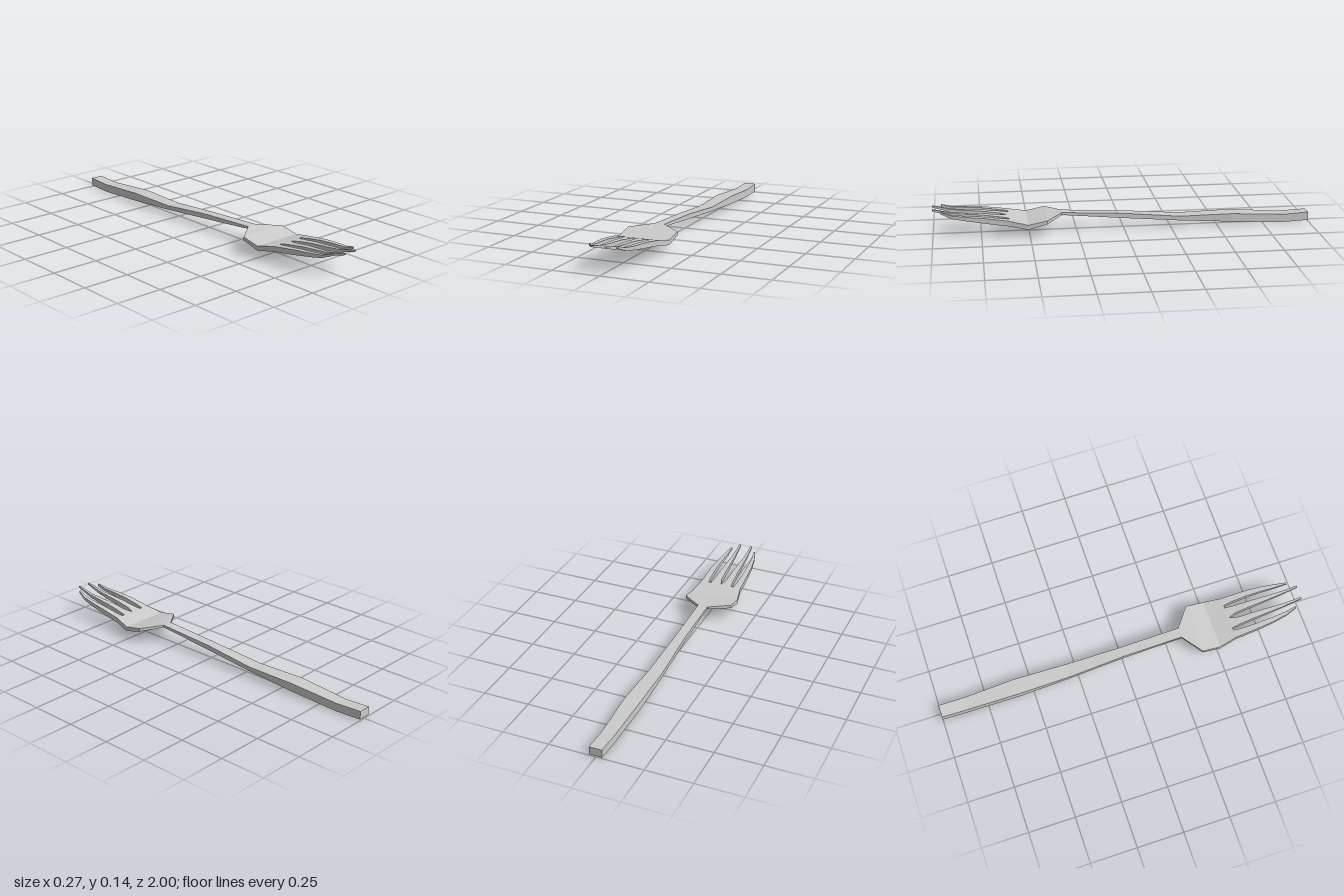
import * as THREE from 'three';

const material = new THREE.MeshStandardMaterial({ color: 0xcccccc, flatShading: true });

// Side profile along the fork: [z, bottom y, top y]
const profile = [
  [-1, 0.006, 0.05], [-0.86, 0, 0.043], [-0.58, 0.016, 0.06], [-0.3, 0.032, 0.055],
  [0, 0.054, 0.08], [0.33, 0.084, 0.097], [0.41, 0.07, 0.088], [0.51, 0.043, 0.068],
  [0.61, 0.061, 0.089], [0.74, 0.08, 0.107], [0.9, 0.104, 0.12], [0.95, 0.125, 0.137], [1, 0.134, 0.143],
];

function heights(z) {
  let i = 1;
  while (i < profile.length - 1 && profile[i][0] < z) i++;
  const a = profile[i - 1], b = profile[i];
  const t = (z - a[0]) / (b[0] - a[0]);
  return [a[1] + (b[1] - a[1]) * t, a[2] + (b[2] - a[2]) * t];
}

// Joins rectangular sections [z, x from, x to] that follow the side profile
function bar(name, sections) {
  const pos = [], index = [];
  for (const [z, x0, x1] of sections) {
    const [y0, y1] = heights(z);
    pos.push(x0, y0, z, x1, y0, z, x1, y1, z, x0, y1, z);
  }
  const n = sections.length;
  for (let s = 0; s < n - 1; s++) {
    for (let k = 0; k < 4; k++) {
      const a = s * 4 + k, b = s * 4 + (k + 1) % 4;
      index.push(a, b, b + 4, a, b + 4, a + 4);
    }
  }
  const e = (n - 1) * 4;
  index.push(0, 2, 1, 0, 3, 2, e, e + 1, e + 2, e, e + 2, e + 3);
  const indexed = new THREE.BufferGeometry();
  indexed.setAttribute('position', new THREE.Float32BufferAttribute(pos, 3));
  indexed.setIndex(index);
  const geometry = indexed.toNonIndexed();
  geometry.computeVertexNormals();
  const mesh = new THREE.Mesh(geometry, material);
  mesh.name = name;
  return mesh;
}

// Symmetric sections from [z, half width]
const symmetric = (list) => list.map(([z, w]) => [z, -w, w]);
const mirrored = (list) => list.map(([z, a, b]) => [z, -b, -a]);

export function createModel() {
  const fork = new THREE.Group();
  fork.name = 'fork';

  // Long handle, thickest towards the back
  fork.add(bar('handle', symmetric([
    [-1, 0.034], [-0.86, 0.035], [-0.58, 0.043], [-0.3, 0.037], [0, 0.027], [0.33, 0.027],
  ])));

  // Dished head
  fork.add(bar('head', symmetric([[0.33, 0.03], [0.41, 0.135], [0.51, 0.135], [0.605, 0.117]])));

  // Two pairs of tapering tines
  const inner = [[0.605, 0, 0.06], [0.65, 0.014, 0.055], [0.74, 0.018, 0.05], [0.9, 0.026, 0.043], [1, 0.029, 0.039]];
  const outer = [[0.605, 0.075, 0.117], [0.65, 0.08, 0.116], [0.74, 0.082, 0.112], [0.82, 0.08, 0.105], [0.9, 0.074, 0.092], [0.955, 0.067, 0.076]];
  fork.add(bar('leftInnerTine', inner), bar('rightInnerTine', mirrored(inner)));
  fork.add(bar('leftOuterTine', outer), bar('rightOuterTine', mirrored(outer)));

  return fork;
}
